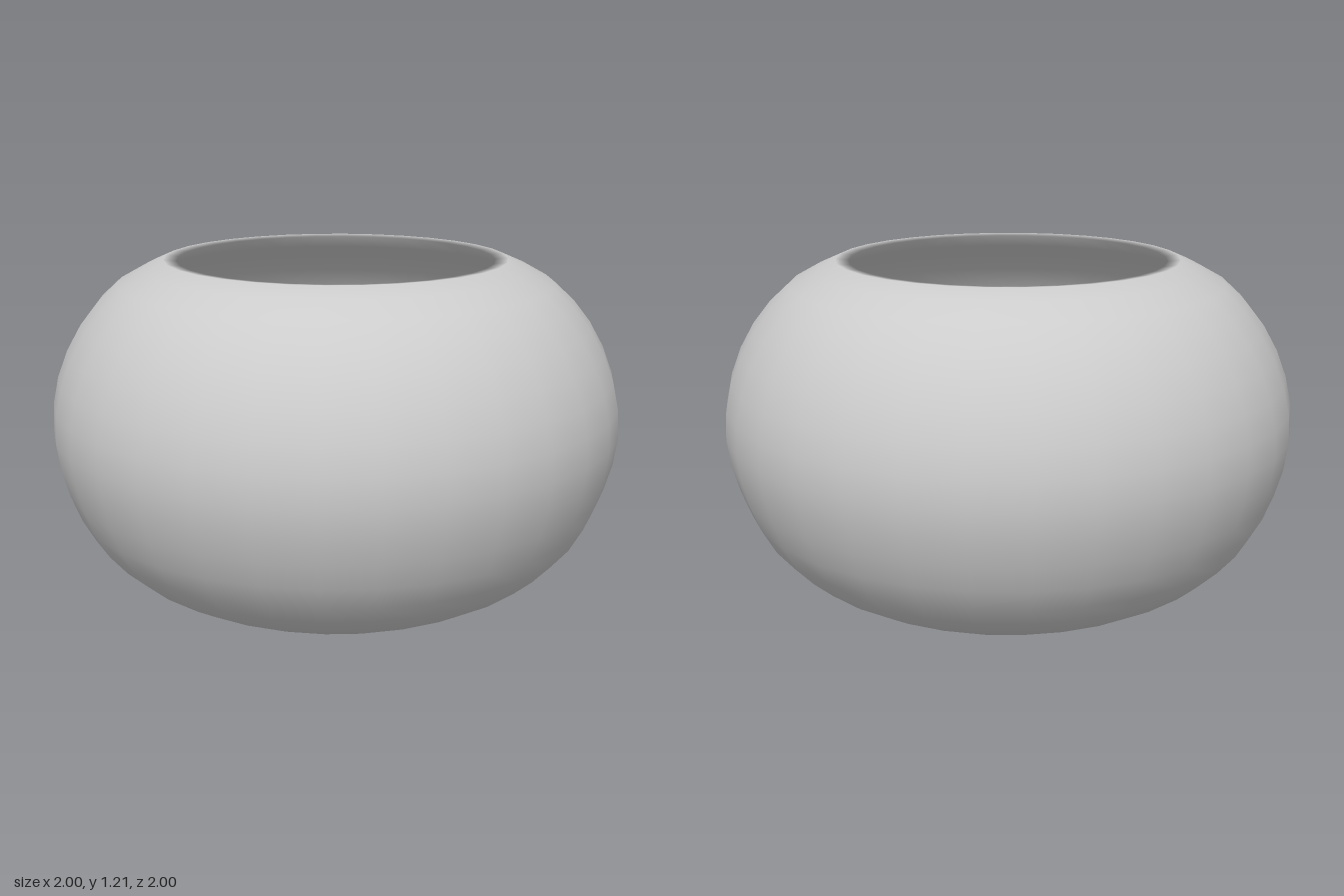
import * as THREE from 'three';

const SIDES = 32;

// Smooth curve through [radius, height] pairs
function smoothProfile(pairs, steps) {
  const curve = new THREE.SplineCurve(pairs.map(([r, y]) => new THREE.Vector2(r, y)));
  return curve.getPoints(steps);
}

export function createModel() {
  const group = new THREE.Group();
  group.name = 'roundBowl';

  // Outer wall, from the shallow foot up to the rim
  const outer = smoothProfile([
    [0.6, 0.05], [0.75, 0.13], [0.88, 0.26], [0.96, 0.43], [1, 0.62],
    [0.975, 0.81], [0.89, 0.99], [0.76, 1.13], [0.6, 1.21],
  ], 16);

  // Inner wall, following the outer one down to the floor
  const inner = smoothProfile([
    [0.555, 1.205], [0.73, 1.09], [0.85, 0.97], [0.93, 0.79], [0.95, 0.62],
    [0.915, 0.45], [0.84, 0.3], [0.72, 0.18], [0.58, 0.1],
  ], 16);

  // Closed cross-section: underside, outer wall, rim, inner wall, floor
  const profile = [
    new THREE.Vector2(0, 0),
    new THREE.Vector2(0.25, 0.004),
    new THREE.Vector2(0.48, 0.018),
    ...outer,
    ...inner,
    new THREE.Vector2(0.47, 0.07),
    new THREE.Vector2(0.25, 0.055),
    new THREE.Vector2(0, 0.05),
  ];

  const bowl = new THREE.Mesh(
    new THREE.LatheGeometry(profile, SIDES),
    new THREE.MeshStandardMaterial({ color: 0xcccccc }),
  );
  bowl.name = 'bowl';
  group.add(bowl);
  return group;
}
